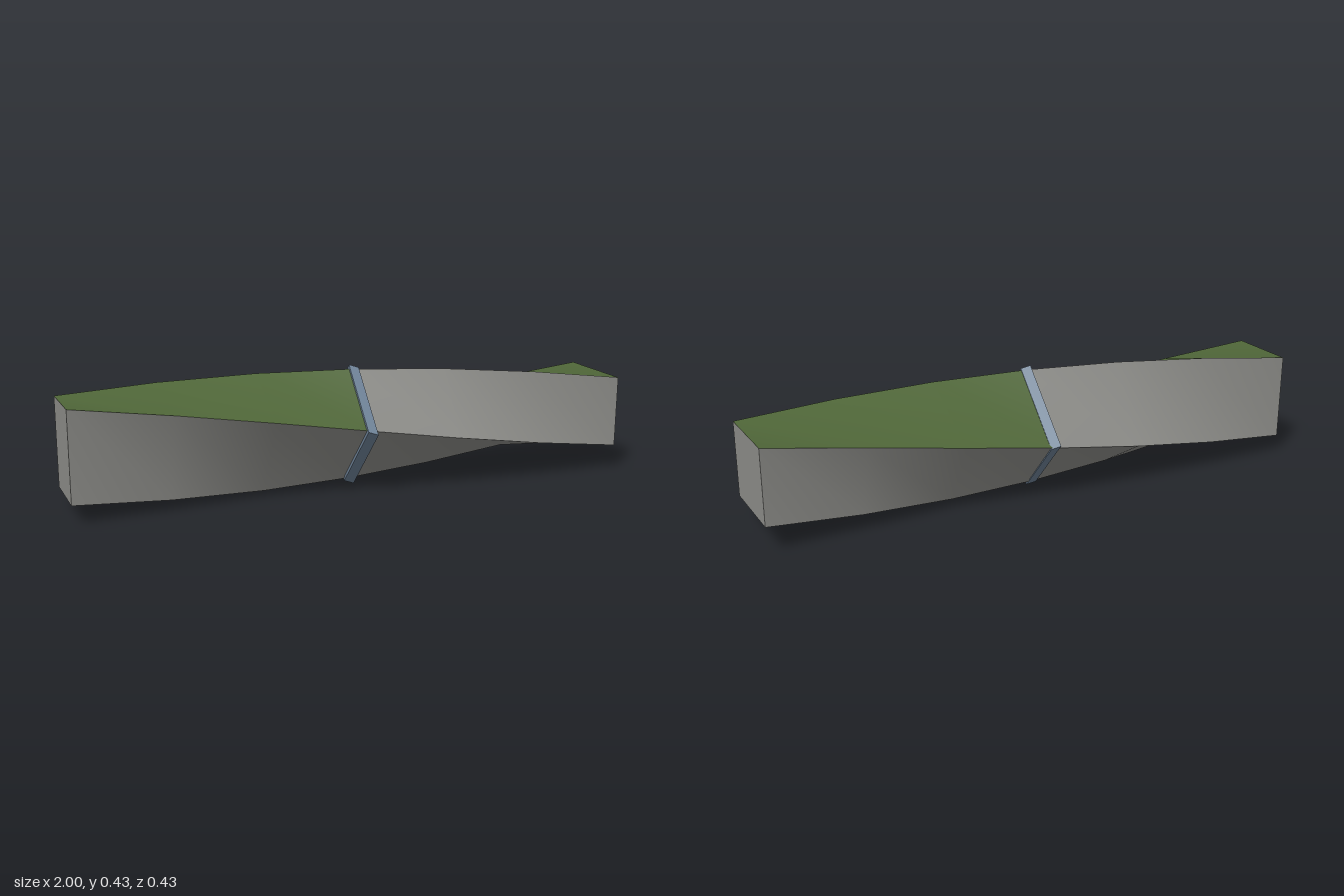
import * as THREE from 'three';

const grey = new THREE.MeshStandardMaterial({ color: 0x8e8e8a });
grey.name = 'grey';
const green = new THREE.MeshStandardMaterial({ color: 0x4f6638 });
green.name = 'green';
const blue = new THREE.MeshStandardMaterial({ color: 0x6d8196 });
blue.name = 'slate blue';

// Rectangular cross-section at x, turned about the x axis; lean skews it along x
function section(x, halfZ, halfY, angle, cy, cz, lean = 0) {
  const c = Math.cos(angle), s = Math.sin(angle);
  return [[1, 1], [-1, 1], [-1, -1], [1, -1]].map(([sz, sy]) => {
    const z = sz * halfZ, y = sy * halfY;
    const dy = y * c - z * s, dz = z * c + y * s;
    return [x + lean * (dy - dz), cy + dy, cz + dz];
  });
}

// Skin over the sections; groups 0-3 are the sides, 4 is both end caps
function loft(sections) {
  const pos = [], index = [];
  const geo = new THREE.BufferGeometry();
  for (let k = 0; k < 4; k++) {
    const base = pos.length / 3, start = index.length;
    for (const s of sections) pos.push(...s[k], ...s[(k + 1) % 4]);
    for (let i = 0; i < sections.length - 1; i++) {
      const a = base + i * 2;
      index.push(a, a + 2, a + 1, a + 1, a + 2, a + 3);
    }
    geo.addGroup(start, index.length - start, k);
  }
  const start = index.length;
  for (const cap of [sections[0], [...sections[sections.length - 1]].reverse()]) {
    const b = pos.length / 3;
    cap.forEach(p => pos.push(...p));
    index.push(b, b + 1, b + 2, b, b + 2, b + 3);
  }
  geo.addGroup(start, index.length - start, 4);
  geo.setAttribute('position', new THREE.Float32BufferAttribute(pos, 3));
  geo.setIndex(index);
  geo.computeVertexNormals();
  return geo;
}

export function createModel() {
  const model = new THREE.Group();
  model.name = 'twistedBeam';
  const rad = THREE.MathUtils.degToRad;

  // Two beam halves, each twisting an eighth turn, with one green side
  ['rightBeam', 'leftBeam'].forEach((name, half) => {
    const sections = [];
    for (let i = 0; i <= 3; i++) {
      const x = half - 1 + i / 3;
      sections.push(section(x, 0.129, 0.155, rad(45.1 + 46.2 * x), 0.22, -0.007));
    }
    const sides = [grey, grey, grey, grey, grey];
    sides[half] = green;
    const beam = new THREE.Mesh(loft(sections), sides);
    beam.name = name;
    model.add(beam);
  });

  // Slightly skewed joint collar between the halves
  const collar = new THREE.Mesh(loft([
    section(-0.014, 0.14, 0.16, rad(45), 0.224, -0.006, 0.018),
    section(0.018, 0.14, 0.16, rad(45), 0.214, 0.004, 0.018),
  ]), blue);
  collar.name = 'jointCollar';
  model.add(collar);

  return model;
}
